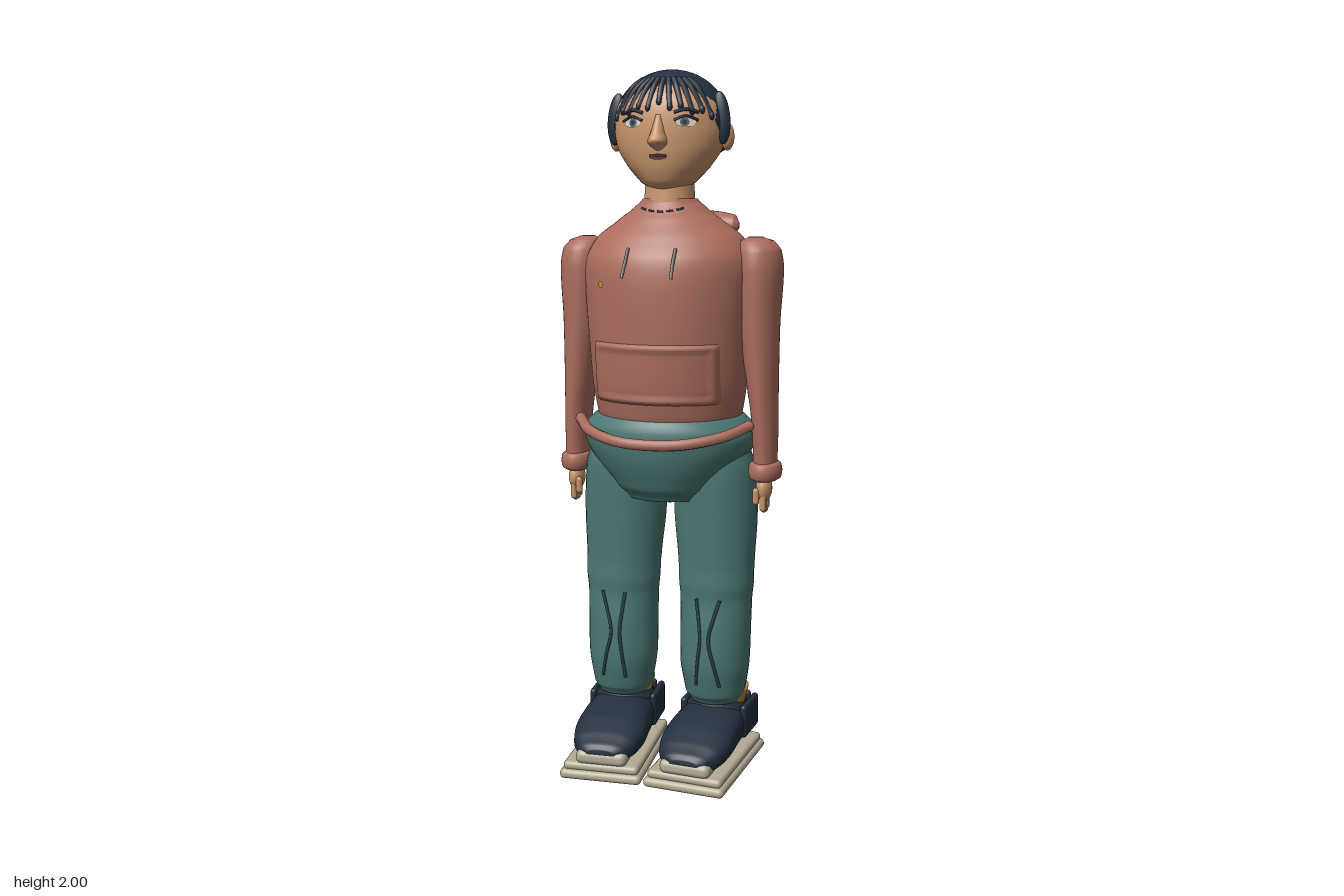
import * as THREE from 'three';
import { RoundedBoxGeometry } from 'three/addons/geometries/RoundedBoxGeometry.js';

const mat = (name, color, side = THREE.FrontSide) => {
  const m = new THREE.MeshStandardMaterial({ color, side });
  m.name = name;
  return m;
};

// Smoothly resample rows of [y, cx, cz, rx, rz]
function dense(rows, per = 6) {
  const out = [], at = i => rows[Math.max(0, Math.min(rows.length - 1, i))];
  for (let i = 0; i < rows.length - 1; i++) for (let k = 0; k < per; k++) {
    const t = k / per;
    out.push(rows[i].map((_, c) => {
      const a = at(i - 1)[c], b = at(i)[c], d = at(i + 1)[c], e = at(i + 2)[c];
      if (c === 0) return b + (d - b) * t;
      return 0.5 * (2 * b + (d - a) * t + (2 * a - 5 * b + 4 * d - e) * t * t + (3 * b - a - 3 * d + e) * t * t * t);
    }));
  }
  out.push(rows[rows.length - 1]);
  return out;
}

// Closed skin over oval rows, listed from bottom to top
function loft(rows, n = 2, seg = 36) {
  const pos = [], idx = [], last = (rows.length - 1) * seg;
  for (const [y, cx, cz, rx, rz] of rows) for (let j = 0; j < seg; j++) {
    const a = j / seg * Math.PI * 2, c = Math.cos(a), s = Math.sin(a);
    pos.push(cx + rx * Math.sign(c) * Math.abs(c) ** (2 / n), y, cz + rz * Math.sign(s) * Math.abs(s) ** (2 / n));
  }
  const end = [rows[0], rows[rows.length - 1]];
  for (const r of end) pos.push(r[1], r[0], r[2]);
  const lo = rows.length * seg;
  for (let j = 0; j < seg; j++) {
    const k = (j + 1) % seg;
    for (let i = 0; i < rows.length - 1; i++) {
      const a = i * seg + j, b = i * seg + k;
      idx.push(a, a + seg, b, b, a + seg, b + seg);
    }
    idx.push(lo, j, k, lo + 1, last + k, last + j);
  }
  const g = new THREE.BufferGeometry();
  g.setAttribute('position', new THREE.Float32BufferAttribute(pos, 3));
  g.setIndex(idx);
  g.computeVertexNormals();
  return g;
}

// Front depth of a lofted body at x, y
function frontZ(rows, x, y) {
  let i = 0;
  while (i < rows.length - 2 && rows[i + 1][0] < y) i++;
  const t = (y - rows[i][0]) / (rows[i + 1][0] - rows[i][0]);
  const [, cx, cz, rx, rz] = rows[i].map((v, c) => v + (rows[i + 1][c] - v) * t);
  return cz + rz * Math.sqrt(Math.max(0, 1 - ((x - cx) / rx) ** 2));
}

// Lay a flat geometry onto a lofted body
function drape(g, rows, off) {
  const p = g.attributes.position;
  for (let i = 0; i < p.count; i++) {
    const x = p.getX(i), y = p.getY(i);
    p.setZ(i, frontZ(rows, x, y) + (typeof off === 'function' ? off(x, y) : off));
  }
  g.computeVertexNormals();
  return g;
}

const tube = (pts, r) => new THREE.TubeGeometry(
  new THREE.CatmullRomCurve3(pts.map(p => new THREE.Vector3(...p))), 24, r, 8);

export function createModel() {
  const root = new THREE.Group();
  const skin = mat('skin', 0xc8956b), navy = mat('navy', 0x242f3f, THREE.DoubleSide), rust = mat('rust', 0xab6d5e);
  const teal = mat('teal', 0x4b7775), crease = mat('dark teal', 0x25403f), tan = mat('sole tan', 0xb5ab95);
  const gold = mat('gold', 0xb98b30), cord = mat('cord grey', 0x5f5f56), white = mat('eye white', 0xd9d6d0);
  const lip = mat('lip', 0x6e3a34);
  const add = (name, g, m, parent = root) => {
    const o = new THREE.Mesh(g, m);
    o.name = name;
    parent.add(o);
    return o;
  };
  const ball = (name, m, p, s, parent = root) => {
    const o = add(name, new THREE.SphereGeometry(1, 24, 16), m, parent);
    o.position.set(...p);
    o.scale.set(...s);
    return o;
  };

  // Sweater body
  const torso = dense([
    [1.0, 0, -.05, .19, .15], [1.03, 0, -.05, .21, .178], [1.12, 0, -.047, .225, .193], [1.25, 0, -.045, .235, .2],
    [1.4, 0, -.045, .245, .201], [1.48, 0, -.048, .243, .192], [1.54, 0, -.05, .21, .155],
    [1.59, 0, -.052, .145, .115], [1.625, 0, -.052, .1, .085], [1.645, 0, -.05, .078, .075]]);
  add('sweater', loft(torso, 2, 48), rust);
  add('pouch', drape(new THREE.PlaneGeometry(.37, .175, 40, 20).translate(0, 1.165, 0), torso, (x, y) => {
    const d = Math.min(.185 - Math.abs(x), .0875 - Math.abs(y - 1.165));
    return d < .004 ? -.006 : d < .02 ? .012 : .007;
  }), rust);
  add('hem', tube([[-.25, 1.015, .02], [-.2, .995, .09], [-.1, .977, .15], [0, .972, .162], [.1, .977, .15],
    [.2, .995, .09], [.25, 1.015, .02]], .016), rust);
  for (const s of [-1, 1]) ball('hemEnd', rust, [s * .25, 1.015, .02], [.016, .016, .016]);
  const hood = add('hood', loft(dense([[-.18, 0, -.13, .01, .01], [-.165, 0, -.145, .035, .03],
    [-.1, 0, -.17, .055, .04], [0, 0, -.18, .06, .042], [.1, 0, -.17, .055, .04],
    [.165, 0, -.145, .035, .03], [.18, 0, -.13, .01, .01]]).map(([y, , z, rx, rz]) => [y, 0, z, rz, rx])).rotateZ(-Math.PI / 2), rust);
  hood.position.y = 1.57;
  for (let i = -2; i <= 2; i++) {
    const p = d => { const x = i * .026 + d, y = 1.61 + x * x * 2.5; return [x, y, frontZ(torso, x, y) + .002]; };
    add('neckStitch', tube([p(-.009), p(0), p(.009)], .003), crease);
  }
  add('chestPin', drape(new THREE.CircleGeometry(.009, 12).translate(-.15, 1.41, 0), torso, .006), gold);

  // Trousers seat
  add('hips', loft(dense([[.795, 0, -.045, .13, .125], [.83, 0, -.045, .165, .15], [.9, 0, -.048, .218, .18],
    [.96, 0, -.05, .252, .193], [1.0, 0, -.05, .25, .193], [1.03, 0, -.052, .222, .183],
    [1.05, 0, -.052, .19, .16]]), 2, 48), teal);

  // Head, neck and face
  const head = dense([[1.665, 0, -.03, .04, .05], [1.69, 0, -.033, .077, .078], [1.73, 0, -.04, .115, .1],
    [1.78, 0, -.048, .148, .115], [1.84, 0, -.052, .16, .12], [1.9, 0, -.055, .153, .115],
    [1.95, 0, -.058, .118, .09], [1.985, 0, -.06, .05, .04]]);
  add('head', loft(head, 2, 40), skin);
  const neck = add('neck', new THREE.CylinderGeometry(.068, .074, .09, 32), skin);
  neck.position.set(0, 1.66, -.045);
  add('nose', loft(dense([[1.775, 0, .055, .012, .012], [1.795, 0, .07, .027, .034], [1.82, 0, .066, .02, .028],
    [1.87, 0, .055, .01, .014]]), 2, 16), skin);
  const patch = (name, m, x, y, rx, ry, off) => add(name,
    drape(new THREE.CircleGeometry(1, 20).scale(rx, ry, 1).translate(x, y, 0), head, off), m);
  patch('mouth', lip, 0, 1.758, .026, .008, .004);
  add('mouthLine', tube([-.024, 0, .024].map(x => [x, 1.761, frontZ(head, x, 1.761) + .004]), .003), navy);
  for (const s of [-1, 1]) {
    patch('eye', white, s * .076, 1.85, .027, .013, .004);
    patch('iris', cord, s * .074, 1.85, .012, .012, .006);
    patch('pupil', navy, s * .074, 1.85, .006, .006, .008);
    const arc = (y, h) => [.045, .076, .108].map((x, i) => [s * x, y + (i === 1 ? h : 0), frontZ(head, x, y) + .005]);
    add('eyelid', tube(arc(1.855, .011), .0035), navy);
    add('eyebrow', tube(arc(1.876, .008), .0045), navy);
    ball('ear', skin, [s * .163, 1.815, -.06], [.019, .038, .021]);
  }

  // Hair cap with a hairline that drops from forehead to nape
  const hp = [], hi = [], U = 48, V = 17;
  const rad = y => y > 1.85 ? Math.sqrt(Math.max(0, 1 - ((y - 1.85) / .15) ** 2)) : 1 - 6 * (1.85 - y) ** 2;
  for (let v = 0; v <= V; v++) for (let u = 0; u < U; u++) {
    const a = u / U * Math.PI * 2, c = Math.cos(a);
    const low = 1.8 + .115 * THREE.MathUtils.smoothstep(c, .1, .9) - .04 * Math.max(0, -c);
    const t = Math.min(v, V - 1) / (V - 1), y = 2 - (2 - low) * t ** 1.7;
    const r = rad(y) * (v === V ? .85 : 1);
    hp.push(.165 * r * Math.sin(a), y, -.06 + .123 * r * c);
    if (v < V) {
      const p = v * U + u, q = v * U + (u + 1) % U;
      hi.push(p, p + U, q, q, p + U, q + U);
    }
  }
  const hair = new THREE.BufferGeometry();
  hair.setAttribute('position', new THREE.Float32BufferAttribute(hp, 3));
  hair.setIndex(hi);
  hair.computeVertexNormals();
  add('hair', hair, navy);
  for (let i = -5; i <= 5; i++) {
    const a = i * .19, pt = (y, k) => [.165 * rad(y) * Math.sin(a * k), y, -.06 + .125 * rad(y) * Math.cos(a * k)];
    const end = 1.905 - .028 * Math.abs(a) - (i % 2 ? .01 : 0);
    const m = add('fringeLock', tube([pt(1.97, .75), pt(1.945, .88), pt(end, 1.03)], .008), navy);
    m.name = 'fringeLock';
    ball('fringeTip', navy, pt(end, 1.03), [.008, .012, .008]);
  }
  for (const s of [-1, 1]) ball('sideLock', navy, [s * .152, 1.865, -.03], [.026, .072, .016]).rotation.z = s * .1;

  for (const s of [-1, 1]) {
    // Drawstrings
    add('drawstring', tube([[s * .068, 1.51, .125], [s * .068, 1.47, .153], [s * .07, 1.43, .178]], .005), cord);

    // Sleeve, cuff and hand
    const arm = new THREE.Group();
    arm.name = 'arm';
    root.add(arm);
    add('sleeve', loft(dense([[.87, .285, -.047, .033, .05], [1.0, .283, -.05, .036, .062], [1.1, .276, -.05, .042, .07],
      [1.3, .262, -.05, .058, .08], [1.45, .26, -.052, .068, .086], [1.505, .258, -.052, .062, .077],
      [1.53, .252, -.052, .046, .055], [1.54, .25, -.052, .02, .025]].map(([y, x, ...r]) => [y, s * x, ...r]))), rust, arm);
    add('cuff', loft(dense([[.853, s * .285, -.047, .033, .05], [.86, s * .285, -.047, .044, .061],
      [.88, s * .285, -.047, .048, .065], [.9, s * .285, -.047, .044, .061], [.907, s * .285, -.047, .033, .05]])), rust, arm);
    ball('palm', skin, [s * .285, .83, -.035], [.023, .04, .036], arm);
    for (let i = 0; i < 4; i++) {
      const f = add('finger', new THREE.CapsuleGeometry(.009, .035, 4, 10), skin, arm);
      f.position.set(s * .287, .792 + (i === 1 || i === 2 ? -.006 : 0), -.012 - i * .016);
    }
    const thumb = add('thumb', new THREE.CapsuleGeometry(.01, .03, 4, 10), skin, arm);
    thumb.position.set(s * .268, .81, -.006);

    // Trouser leg with shin creases
    const leg = dense([[.185, .143, -.045, .075, .07], [.21, .143, -.043, .088, .085], [.3, .142, -.04, .102, .1],
      [.42, .143, -.044, .104, .102], [.5, .143, -.047, .106, .098], [.54, .143, -.047, .11, .101],
      [.6, .142, -.05, .112, .102], [.75, .138, -.056, .122, .112], [.88, .135, -.055, .118, .115],
      [.97, .13, -.05, .1, .1]].map(([y, x, ...r]) => [y, s * x, ...r]));
    add('trouserLeg', loft(leg), teal);
    for (const [x0, x1] of [[.178, .148], [.108, .122]]) {
      const pts = [[x0, .51], [(x0 + x1) / 2, .46], [x1, .39], [(x0 + x1) / 2, .32], [x0, .25]];
      add('shinCrease', tube(pts.map(([x, y]) => [s * x, y, frontZ(leg, s * x, y) + .001]), .005), crease);
    }
    add('sock', loft([[.15, s * .146, -.063, .075, .062], [.21, s * .146, -.063, .09, .074],
      [.222, s * .146, -.063, .092, .076]]), gold);

    // Shoe on its layered sole, toes turned in
    const foot = new THREE.Group();
    foot.name = 'foot';
    foot.position.set(s * .137, 0, .04);
    foot.rotation.y = -s * .07;
    root.add(foot);
    const slab = (name, w, h, l, y, z, m, x = 0) => {
      const o = add(name, new RoundedBoxGeometry(w, h, l, 4, Math.min(h * .48, .018)), m, foot);
      o.position.set(x, y, z);
    };
    slab('sole', .24, .028, .405, .014, 0, tan);
    slab('midsole', .222, .026, .385, .037, 0, tan);
    slab('toeBumper', .15, .042, .11, .065, .138, tan);
    add('shoe', loft(dense([[-.2, 0, -.1, .05, .045], [-.185, 0, -.108, .083, .06], [-.1, 0, -.112, .095, .066],
      [0, 0, -.11, .102, .064], [.08, 0, -.1, .105, .053], [.14, 0, -.087, .092, .04],
      [.178, 0, -.08, .065, .026], [.19, 0, -.078, .04, .014]]), 2.6).rotateX(Math.PI / 2), navy, foot);
    for (const x of [-.093, .093]) slab('heelPanel', .02, .1, .13, .125, -.125, navy, x);
    slab('heelBack', .15, .1, .02, .125, -.195, navy);
    add('ankleCollar', loft(dense([[.1, 0, -.1, .09, .085], [.16, 0, -.1, .09, .085], [.182, 0, -.1, .08, .075]])), navy, foot);
  }
  return root;
}
